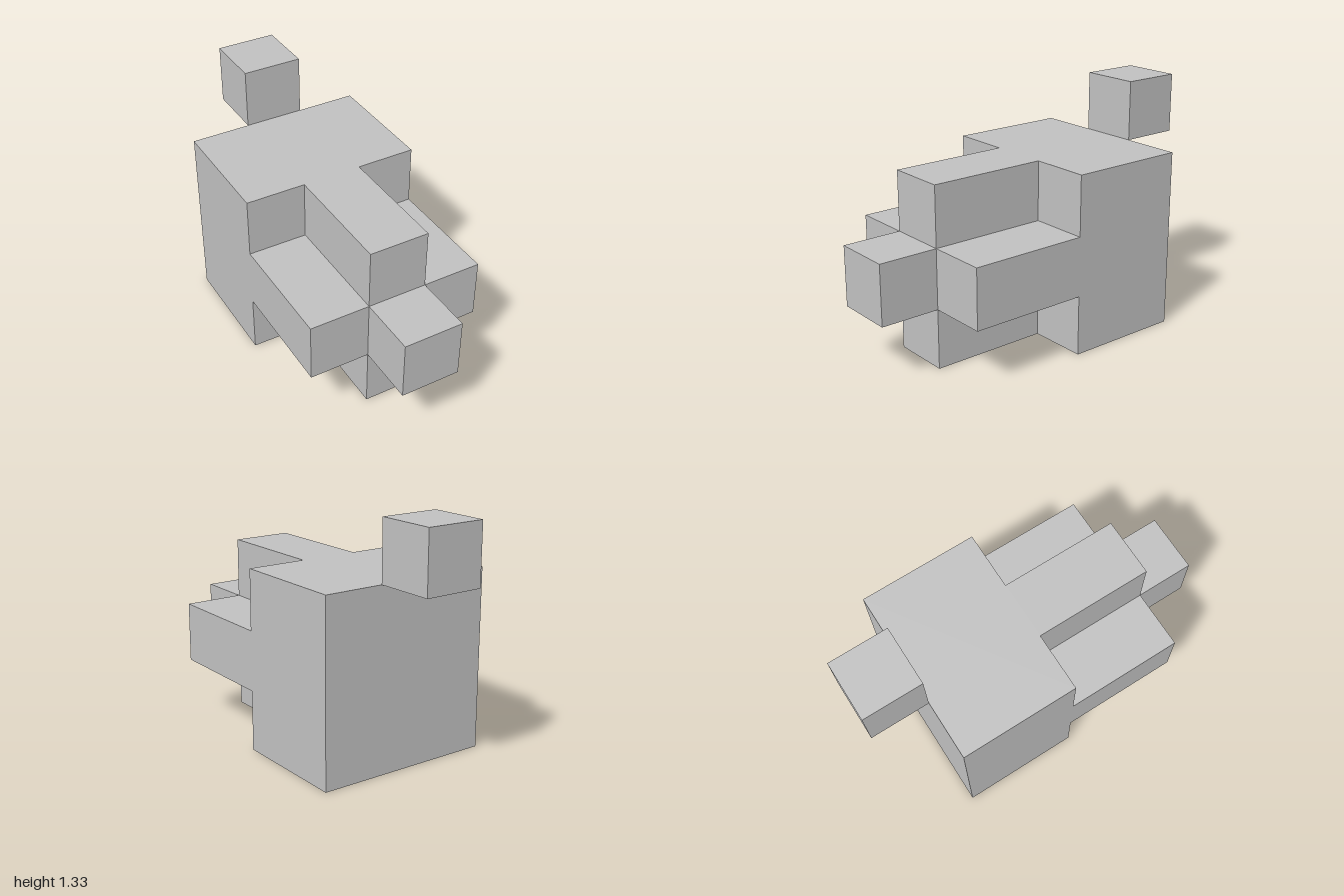
import * as THREE from 'three';

const U = 1 / 3; // edge of one block

export function createModel() {
  const model = new THREE.Group();
  model.name = 'blockModel';
  const grey = new THREE.MeshStandardMaterial({ color: 0xc0c0c0 });
  grey.name = 'light grey';

  function add(name, geometry, x, y, z) {
    const mesh = new THREE.Mesh(geometry, grey);
    mesh.name = name;
    mesh.position.set(x, y, z);
    model.add(mesh);
  }

  // solid rear body
  add('body', new THREE.BoxGeometry(3 * U, 3 * U, 2 * U), 0, 1.5 * U, -U);

  // plus-shaped front, extruded forward from the body
  const a = U / 2, b = 1.5 * U;
  const plus = new THREE.Shape([
    [a, -b], [a, -a], [b, -a], [b, a], [a, a], [a, b],
    [-a, b], [-a, a], [-b, a], [-b, -a], [-a, -a], [-a, -b],
  ].map(([x, y]) => new THREE.Vector2(x, y)));
  add('crossFront', new THREE.ExtrudeGeometry(plus, { depth: 2 * U, bevelEnabled: false }), 0, b, 0);

  // single blocks: nose at the front, tail above and behind the rear top edge
  const block = new THREE.BoxGeometry(U, U, U);
  add('nose', block, 0, 1.5 * U, 2.5 * U);
  add('tail', block, 0, 3.5 * U, -2.5 * U);

  return model;
}
